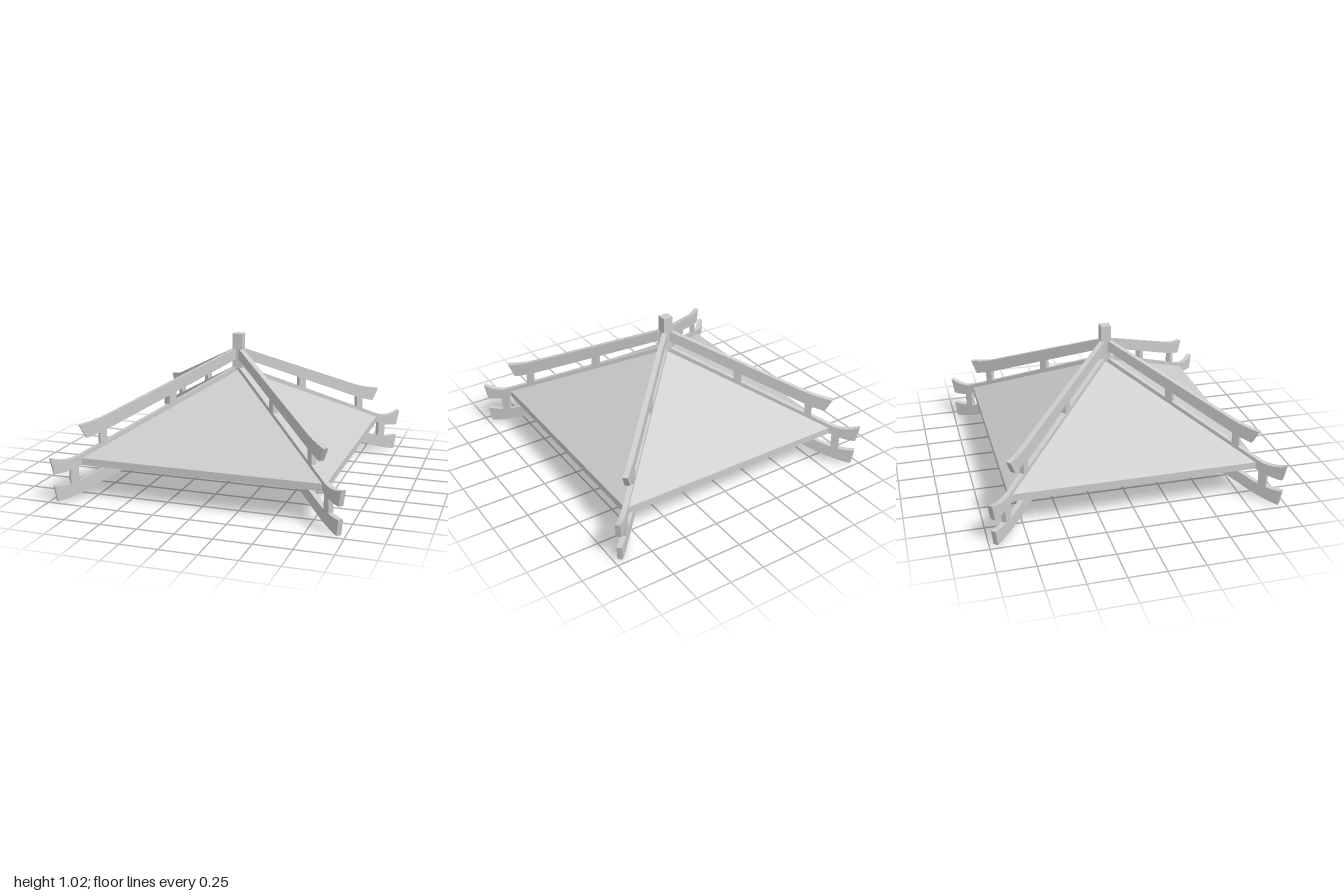
import * as THREE from 'three';

const material = new THREE.MeshStandardMaterial({ color: 0xcccccc, flatShading: true });
const THICK = 0.035;

// Profile points are [x, y] or [controlX, controlY, x, y]; x is measured along
// one axis, so it is stretched by sqrt(2) to lie along the diagonal.
function plank(name, points) {
  const k = Math.SQRT2;
  const shape = new THREE.Shape();
  points.forEach((p, i) => {
    if (i === 0) shape.moveTo(p[0] * k, p[1]);
    else if (p.length === 2) shape.lineTo(p[0] * k, p[1]);
    else shape.quadraticCurveTo(p[0] * k, p[1], p[2] * k, p[3]);
  });
  const geometry = new THREE.ExtrudeGeometry(shape, { depth: THICK, bevelEnabled: false, curveSegments: 6 });
  geometry.translate(0, 0, -THICK / 2);
  const mesh = new THREE.Mesh(geometry, material);
  mesh.name = name;
  return mesh;
}

function hipFrame() {
  const group = new THREE.Group();
  group.name = 'hipFrame';
  group.add(
    // raised rail with upturned tip
    plank('upperRail', [
      [0.01, 0.85], [0.67, 0.475], [0.74, 0.435, 0.805, 0.413],
      [0.838, 0.505], [0.77, 0.515, 0.7, 0.55], [0.01, 0.925],
    ]),
    // ridge beam seated in the roof, flaring past the corner
    plank('ridgeBeam', [
      [0.01, 0.728], [0.81, 0.254], [0.89, 0.188, 0.968, 0.193],
      [0.985, 0.303], [0.9, 0.255, 0.83, 0.306], [0.01, 0.796],
    ]),
    // bracket beam hanging under the corner
    plank('lowerBracket', [
      [0.602, 0.175], [0.79, 0.065], [0.87, 0.018, 0.957, 0.0],
      [0.97, 0.108], [0.89, 0.1, 0.82, 0.135], [0.63, 0.238],
    ]),
    // short struts joining the beams
    plank('middleStrut', [[0.345, 0.56], [0.383, 0.53], [0.383, 0.66], [0.345, 0.68]]),
    plank('outerStrut', [[0.705, 0.35], [0.74, 0.33], [0.74, 0.47], [0.705, 0.49]]),
    plank('lowerStrut', [[0.85, 0.1], [0.89, 0.09], [0.89, 0.225], [0.85, 0.24]])
  );
  return group;
}

export function createModel() {
  const model = new THREE.Group();
  model.name = 'pavilionRoof';

  // hollow four-sided roof slab with a vertical eave edge
  const R = 0.845 * Math.SQRT2;
  const profile = [[0, 0.73], [R, 0.23], [R, 0.278], [0, 0.778]].map(([x, y]) => new THREE.Vector2(x, y));
  const roof = new THREE.Mesh(new THREE.LatheGeometry(profile, 4, Math.PI / 4), material);
  roof.name = 'roof';
  model.add(roof);

  // square post at the peak
  const post = new THREE.Mesh(new THREE.BoxGeometry(0.07, 0.26, 0.07), material);
  post.name = 'peakPost';
  post.position.y = 0.895;
  model.add(post);

  // one frame on each hip
  for (let i = 0; i < 4; i++) {
    const frame = hipFrame();
    frame.rotation.y = Math.PI / 4 + (i * Math.PI) / 2;
    model.add(frame);
  }
  return model;
}
